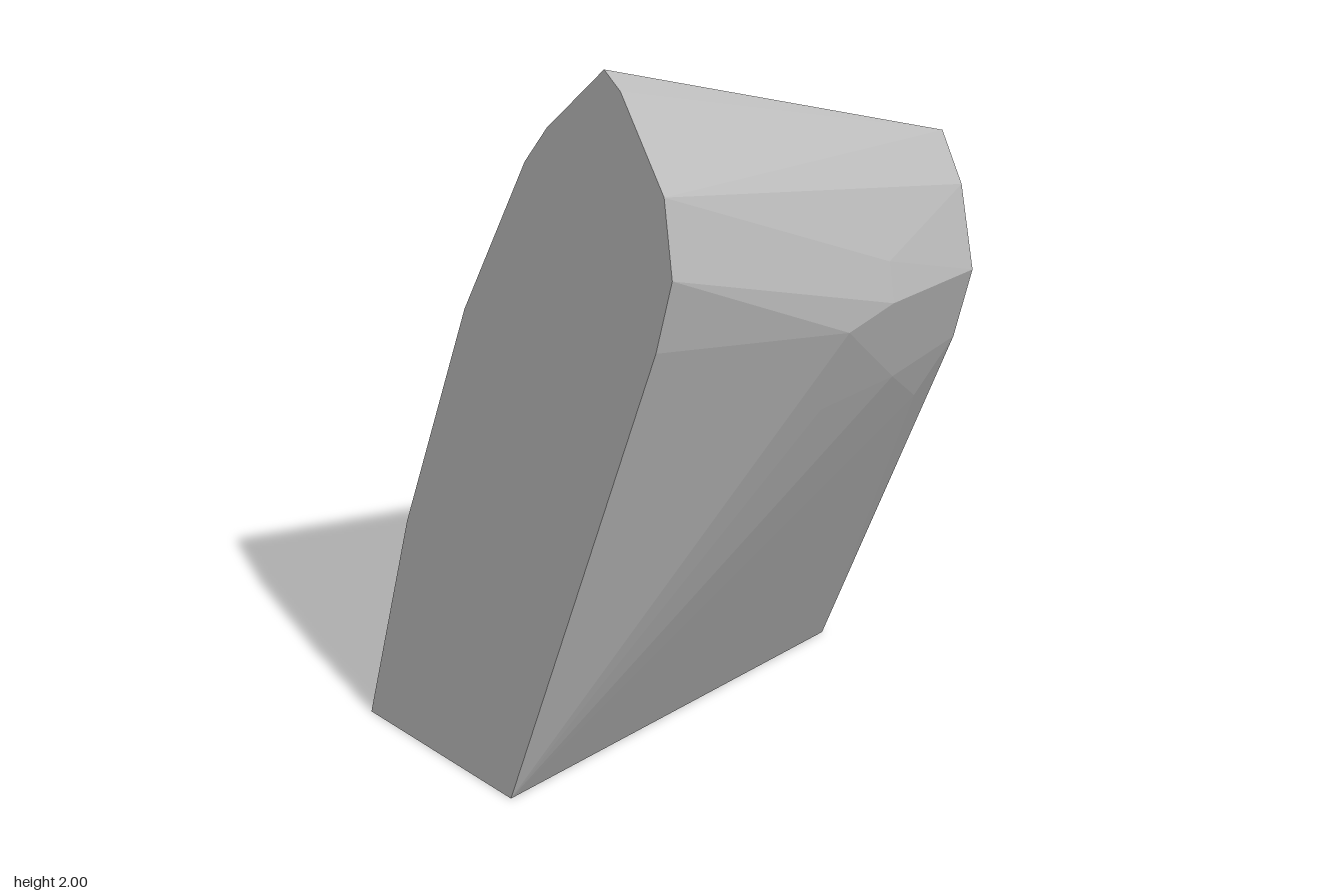
import * as THREE from 'three';
import { ConvexGeometry } from 'three/addons/geometries/ConvexGeometry.js';

export function createModel() {
  const group = new THREE.Group();
  group.name = 'leaningRock';
  const stone = new THREE.MeshStandardMaterial({ color: 0xc4c4c4 });
  stone.name = 'light grey stone';

  // cut side profiles as [z, y]
  const side = (x, profile) => profile.map(([z, y]) => new THREE.Vector3(x, y, z));
  const tallSide = side(-0.51, [
    [0.06, 0], [0.59, 1.36], [0.65, 1.57], [0.62, 1.77], [0.46, 1.97], [0.4, 2],
    [0.19, 1.76], [0.11, 1.64], [0.06, 1.53], [-0.11, 1.17], [-0.32, 0.54], [-0.45, 0],
  ]);
  const shortSide = side(0.51, [
    [-0.13, 0], [0.35, 0.96], [0.42, 1.16], [0.38, 1.36], [0.31, 1.467], [0.29, 1.458],
    [0.13, 1.32], [0.06, 1.22], [-0.3, 0.58], [-0.56, 0],
  ]);

  // chipped corners on the front and along the back foot, as [x, y, z]
  const chips = [
    [0.22, 1.21, 0.51], [0.08, 1.19, 0.53], [0.22, 1.31, 0.495],
    [0.08, 0.95, 0.425], [0.3, 0.95, 0.4], [0.43, 0.82, 0.31],
    [-0.36, 0, -0.575], [-0.32, 0, -0.605], [-0.14, 0, -0.65], [-0.11, 0, -0.65],
  ].map((p) => new THREE.Vector3(...p));

  const slab = new THREE.Mesh(new ConvexGeometry([...tallSide, ...shortSide, ...chips]), stone);
  slab.name = 'rockSlab';
  group.add(slab);
  return group;
}
